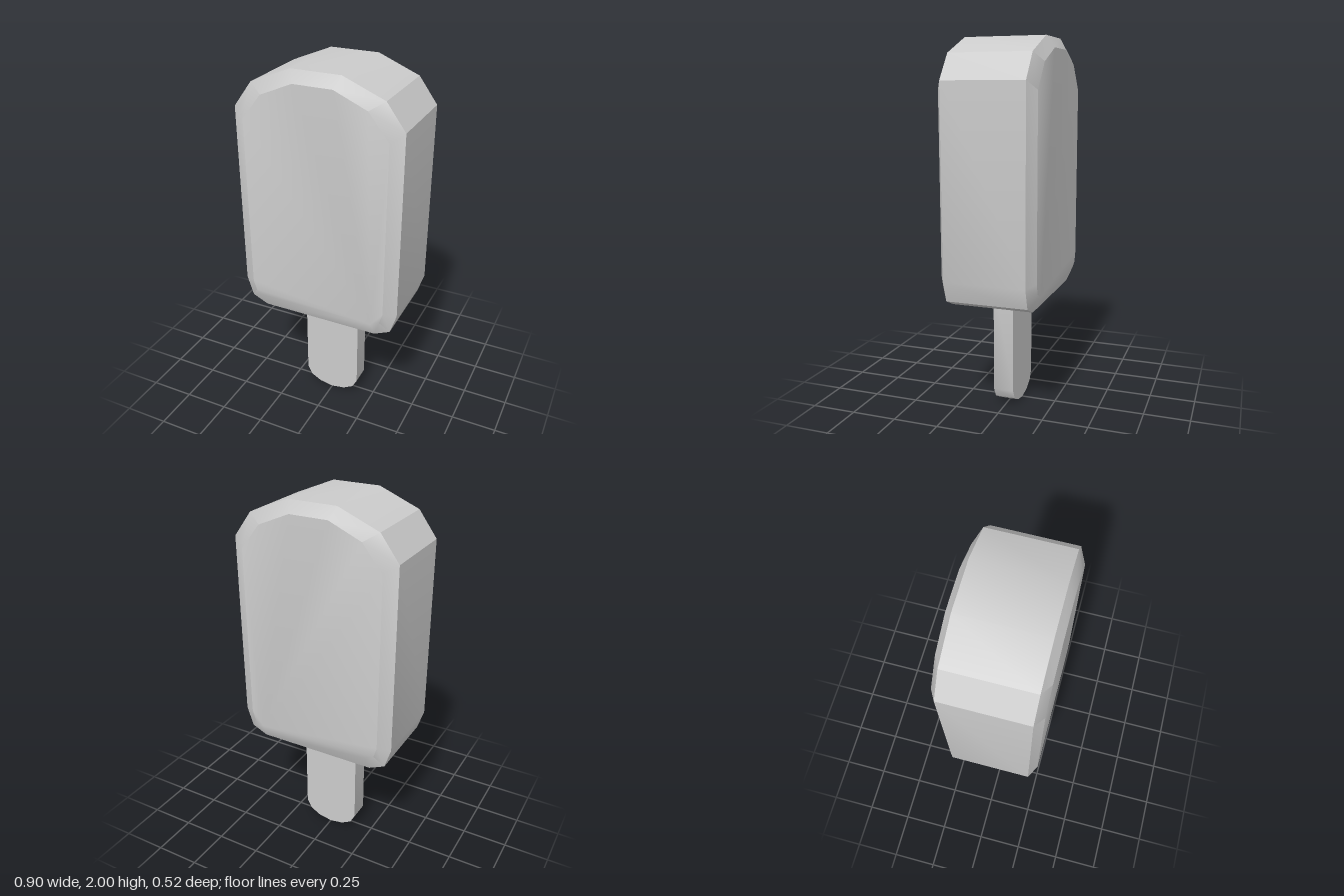
import * as THREE from 'three';
import { toCreasedNormals } from 'three/addons/utils/BufferGeometryUtils.js';

const grey = () => new THREE.MeshStandardMaterial({ color: 0xcccccc });

// Right-hand half outline (bottom to top) -> full counter-clockwise loop
const mirror = (half) => [
  ...half,
  ...half.filter(([x]) => x > 0).reverse().map(([x, y]) => [-x, y]),
];

// Joins matching convex loops from back to front and closes both ends
function loft(rings) {
  const pos = [];
  const n = rings[0].loop.length;
  const put = (r, i) => {
    const [x, y] = rings[r].loop[i % n];
    pos.push(x, y, rings[r].z);
  };
  for (let r = 0; r < rings.length - 1; r++) {
    for (let i = 0; i < n; i++) {
      put(r, i); put(r, i + 1); put(r + 1, i + 1);
      put(r, i); put(r + 1, i + 1); put(r + 1, i);
    }
  }
  const last = rings.length - 1;
  for (let i = 1; i < n - 1; i++) {
    put(0, 0); put(0, i + 1); put(0, i);
    put(last, 0); put(last, i); put(last, i + 1);
  }
  const geo = new THREE.BufferGeometry();
  geo.setAttribute('position', new THREE.Float32BufferAttribute(pos, 3));
  return geo;
}

export function createModel() {
  const model = new THREE.Group();
  model.name = 'icePop';

  // Ice block: rounded outline with a chamfered front and back rim
  const outer = mirror([[0.33, 0.62], [0.417, 0.66], [0.452, 0.77], [0.452, 1.775], [0.352, 1.91], [0.132, 2]]);
  const inner = mirror([[0.32, 0.703], [0.37, 0.728], [0.387, 0.785], [0.387, 1.73], [0.28, 1.865], [0.105, 1.94]]);
  const block = new THREE.Mesh(
    toCreasedNormals(loft([
      { loop: inner, z: -0.258 },
      { loop: outer, z: -0.22 },
      { loop: outer, z: 0.22 },
      { loop: inner, z: 0.258 },
    ]), 0.47),
    grey(),
  );
  block.name = 'iceBlock';
  model.add(block);

  // Flat stick with a rounded lower end, its top set into the block
  const stickLoop = mirror([[0, 0], [0.078, 0.014], [0.135, 0.046], [0.163, 0.098], [0.163, 0.72]]);
  const stick = new THREE.Mesh(
    toCreasedNormals(loft([
      { loop: stickLoop, z: -0.056 },
      { loop: stickLoop, z: 0.056 },
    ]), 0.53),
    grey(),
  );
  stick.name = 'stick';
  model.add(stick);

  return model;
}
